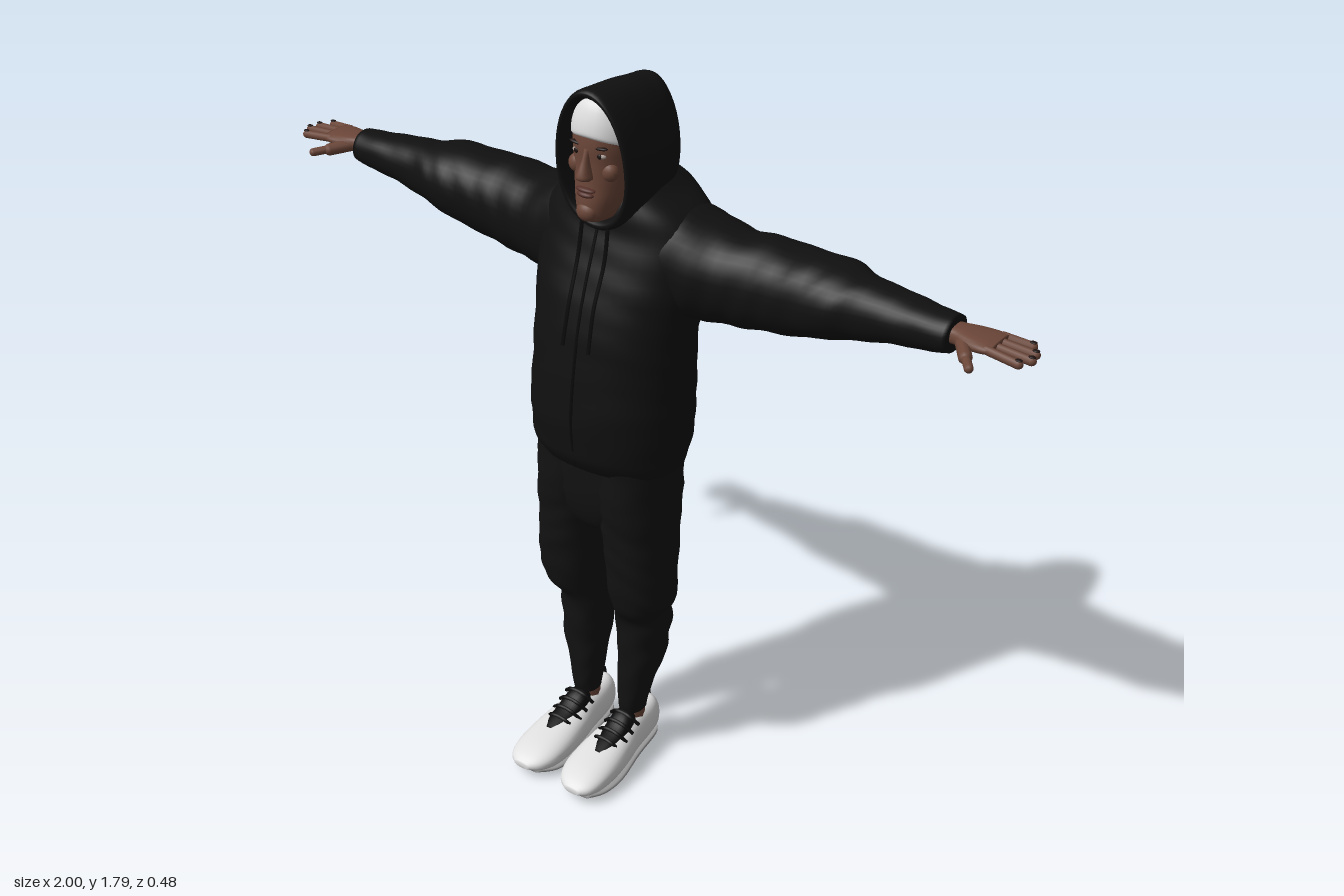
import * as THREE from 'three';

const mat = (name, color) => Object.assign(new THREE.MeshStandardMaterial({ color }), { name });

// Cubic interpolation between section values
const cubic = (a, b, c, d, t) =>
  b + 0.5 * t * (c - a + t * (2 * a - 5 * b + 4 * c - d + t * (3 * (b - c) + d - a)));

// Lofts superellipse sections [t, u0, u1, v0, v1] along an axis.
// (axis, u, v) is (x, y, z), (y, z, x) or (z, x, y); wrinkle adds cloth folds.
function loft(axis, rows, { p = 2.2, seg = 32, sub = 4, wrinkle = 0, warp = null } = {}) {
  const k = 'xyz'.indexOf(axis), fine = [], pos = [], idx = [];
  const at = i => rows[Math.max(0, Math.min(rows.length - 1, i))];
  for (let i = 0; i < rows.length - 1; i++)
    for (let s = 0; s < sub; s++)
      fine.push(rows[i].map((_, c) => cubic(at(i - 1)[c], at(i)[c], at(i + 1)[c], at(i + 2)[c], s / sub)));
  fine.push(at(rows.length));
  const ring = ([t, u0, u1, v0, v1], size) => {
    for (let j = 0; j < seg; j++) {
      const a = j / seg * Math.PI * 2, c = Math.cos(a), s = Math.sin(a);
      const w = size * (1 + wrinkle * (Math.sin(t * 75 + 2.5 * Math.sin(a * 2 + t * 9)) + 0.6 * Math.sin(t * 41 + a * 3)));
      const q = [0, 0, 0];
      q[k] = t;
      q[(k + 1) % 3] = (u0 + u1) / 2 + w * (u1 - u0) / 2 * Math.sign(c) * Math.abs(c) ** (2 / p);
      q[(k + 2) % 3] = (v0 + v1) / 2 + w * (v1 - v0) / 2 * Math.sign(s) * Math.abs(s) ** (2 / p);
      if (warp) warp(q);
      pos.push(...q);
    }
  };
  const all = [[fine[0], 0], ...fine.map(r => [r, 1]), [fine[fine.length - 1], 0]];
  all.forEach(([r, size]) => ring(r, size));
  for (let i = 0; i < all.length - 1; i++)
    for (let j = 0; j < seg; j++) {
      const a = i * seg + j, b = i * seg + (j + 1) % seg, c = a + seg, d = b + seg;
      if (i > 0) idx.push(a, b, c);
      if (i < all.length - 2) idx.push(b, d, c);
      if (i === 0) idx.push(a, d, c);
      if (i === all.length - 2) idx.push(a, b, c);
    }
  const g = new THREE.BufferGeometry();
  g.setAttribute('position', new THREE.Float32BufferAttribute(pos, 3));
  g.setIndex(idx);
  g.computeVertexNormals();
  return g;
}

export function createModel() {
  const M = {
    cloth: mat('blackCloth', 0x101010), trousers: mat('trouserBlack', 0x121212), trim: mat('blackTrim', 0x0a0a0a),
    skin: mat('brownSkin', 0x6b4638), lips: mat('darkLips', 0x553029), hair: mat('darkBrows', 0x1c1210),
    white: mat('white', 0xdedede), sole: mat('soleGrey', 0xa0a0a0), eye: mat('eyeWhite', 0xa89c94),
  };
  const model = new THREE.Group();
  model.name = 'hoodedFigure';
  const add = (parent, name, geo, material) => {
    const m = new THREE.Mesh(geo, material);
    m.name = name;
    parent.add(m);
    return m;
  };
  const ball = (parent, name, material, p, s) => {
    const m = add(parent, name, new THREE.SphereGeometry(1, 16, 12), material);
    m.position.set(...p);
    m.scale.set(...s);
    return m;
  };
  const limb = (parent, name, material, a, b, r) => {
    const A = new THREE.Vector3(...a), d = new THREE.Vector3(...b).sub(A);
    const m = add(parent, name, new THREE.CapsuleGeometry(r, d.length(), 5, 10), material);
    m.position.copy(A).addScaledVector(d, 0.5);
    m.quaternion.setFromUnitVectors(new THREE.Vector3(0, 1, 0), d.normalize());
  };
  const tube = (parent, name, material, pts, r) => add(parent, name, new THREE.TubeGeometry(
    new THREE.CatmullRomCurve3(pts.map(q => new THREE.Vector3(...q))), 20, r, 6), material);

  // Sweatshirt body with a gathered hem
  add(model, 'sweatshirt', loft('y', [
    [0.885, -0.165, 0.1, -0.185, 0.185], [0.91, -0.175, 0.112, -0.192, 0.192], [0.94, -0.188, 0.118, -0.195, 0.195],
    [1.02, -0.2, 0.124, -0.197, 0.197], [1.12, -0.198, 0.113, -0.195, 0.195], [1.22, -0.2, 0.1, -0.195, 0.195],
    [1.32, -0.213, 0.075, -0.205, 0.205], [1.4, -0.228, 0.045, -0.215, 0.215], [1.46, -0.235, 0.025, -0.21, 0.21],
    [1.505, -0.235, 0.018, -0.175, 0.175], [1.54, -0.23, 0.012, -0.12, 0.12], [1.565, -0.2, 0, -0.09, 0.09],
  ], { p: 2.3, seg: 48, wrinkle: 0.006 }), M.cloth);

  // Hood: outer shell from back to rim, then folded inward
  add(model, 'hood', loft('z', [
    [-0.19, -0.05, 0.05, 1.54, 1.735], [-0.18, -0.075, 0.075, 1.5, 1.77], [-0.13, -0.098, 0.098, 1.47, 1.778],
    [-0.05, -0.106, 0.106, 1.46, 1.787], [0.0, -0.106, 0.106, 1.46, 1.792], [0.035, -0.101, 0.101, 1.465, 1.793],
    [0.048, -0.093, 0.093, 1.475, 1.785], [0.036, -0.085, 0.085, 1.488, 1.772], [-0.03, -0.083, 0.083, 1.49, 1.765],
  ], {
    p: 2.1, seg: 48, wrinkle: 0.004,
    warp: q => {
      const h = (q[1] - 1.63) / 0.16;
      q[0] *= 1 - 0.1 * h;
      q[2] += 0.012 * h;
    },
  }), M.cloth);

  // Front zip and drawstrings
  tube(model, 'zip', M.trim, [[0, 1.47, 0.022], [0, 1.32, 0.075], [0, 1.22, 0.1], [0, 1.02, 0.124], [0, 0.9, 0.108]], 0.004);
  for (const s of [-1, 1])
    tube(model, 'drawstring', M.trim, [[s * 0.035, 1.49, 0.03], [s * 0.036, 1.4, 0.046], [s * 0.034, 1.3, 0.082], [s * 0.036, 1.2, 0.105]], 0.005);

  // Head and headband
  const head = new THREE.Group();
  head.name = 'head';
  model.add(head);
  add(head, 'face', loft('y', [
    [1.493, -0.01, 0.05, -0.02, 0.02], [1.505, -0.06, 0.068, -0.04, 0.04], [1.54, -0.1, 0.07, -0.056, 0.056],
    [1.58, -0.12, 0.064, -0.067, 0.067], [1.63, -0.135, 0.061, -0.075, 0.075], [1.67, -0.14, 0.062, -0.078, 0.078],
    [1.71, -0.13, 0.054, -0.075, 0.075], [1.75, -0.1, 0.025, -0.05, 0.05],
  ]), M.skin);
  add(head, 'headband', loft('y', [
    [1.69, -0.142, 0.06, -0.082, 0.082], [1.7, -0.142, 0.064, -0.083, 0.083], [1.73, -0.13, 0.058, -0.079, 0.079],
    [1.76, -0.1, 0.043, -0.06, 0.06], [1.775, -0.07, 0.015, -0.035, 0.035],
  ], { warp: q => { q[1] -= 3 * q[0] * q[0]; } }), M.white);
  add(head, 'nose', loft('y', [
    [1.595, 0.05, 0.075, -0.012, 0.012], [1.602, 0.04, 0.088, -0.018, 0.018], [1.615, 0.04, 0.086, -0.015, 0.015],
    [1.64, 0.04, 0.074, -0.009, 0.009], [1.665, 0.04, 0.064, -0.008, 0.008],
  ], { seg: 16 }), M.skin);
  ball(head, 'upperLip', M.lips, [0, 1.573, 0.064], [0.026, 0.006, 0.011]);
  ball(head, 'lowerLip', M.lips, [0, 1.562, 0.065], [0.022, 0.007, 0.011]);
  ball(head, 'chin', M.skin, [0, 1.52, 0.06], [0.026, 0.022, 0.018]);
  for (const s of [-1, 1]) {
    ball(head, 'eye', M.eye, [s * 0.031, 1.653, 0.05], [0.013, 0.006, 0.008]);
    ball(head, 'iris', M.hair, [s * 0.031, 1.653, 0.056], [0.006, 0.006, 0.003]);
    ball(head, 'eyebrow', M.hair, [s * 0.033, 1.671, 0.053], [0.018, 0.004, 0.007]).rotation.z = s * 0.1;
    ball(head, 'cheek', M.skin, [s * 0.043, 1.615, 0.035], [0.022, 0.022, 0.018]);
  }

  // Hips
  add(model, 'trouserSeat', loft('y', [
    [0.685, -0.08, 0.04, -0.03, 0.03], [0.72, -0.115, 0.07, -0.1, 0.1], [0.8, -0.14, 0.088, -0.16, 0.16], [0.93, -0.155, 0.09, -0.165, 0.165],
  ], { p: 2.5 }), M.trousers);

  // Arms and legs, mirrored left to right
  for (const side of [1, -1]) {
    const half = new THREE.Group();
    half.name = side > 0 ? 'leftLimbs' : 'rightLimbs';
    half.scale.x = side;
    model.add(half);

    add(half, 'sleeve', loft('x', [
      [0.06, 1.3, 1.515, -0.225, 0], [0.14, 1.27, 1.515, -0.235, 0.01], [0.2, 1.257, 1.5, -0.237, -0.002], [0.27, 1.265, 1.478, -0.236, -0.02],
      [0.35, 1.272, 1.482, -0.233, -0.03], [0.42, 1.285, 1.48, -0.23, -0.03], [0.5, 1.305, 1.482, -0.225, -0.025],
      [0.55, 1.318, 1.478, -0.218, -0.028], [0.6, 1.332, 1.47, -0.192, -0.042], [0.68, 1.35, 1.462, -0.178, -0.052],
      [0.76, 1.363, 1.455, -0.165, -0.056], [0.815, 1.373, 1.452, -0.153, -0.062],
    ], { seg: 36, wrinkle: 0.014 }), M.cloth);

    // Hand with four fingers and a thumb
    const hand = new THREE.Group();
    hand.name = 'hand';
    half.add(hand);
    add(hand, 'palm', loft('x', [
      [0.78, 1.393, 1.437, -0.138, -0.078], [0.82, 1.397, 1.437, -0.137, -0.077], [0.85, 1.4, 1.436, -0.147, -0.066],
      [0.89, 1.405, 1.433, -0.155, -0.06], [0.915, 1.41, 1.43, -0.152, -0.064],
    ], { p: 2.6, seg: 20 }), M.skin);
    [[-0.145, 0.965], [-0.12, 0.985], [-0.096, 0.99], [-0.072, 0.975]].forEach(([z, tip], i) => {
      const zt = z + (1.5 - i) * -0.004;
      limb(hand, 'finger', M.skin, [0.9, 1.42, z], [tip, 1.414, zt], 0.0098);
      ball(hand, 'fingernail', M.hair, [tip, 1.4235, zt], [0.008, 0.0025, 0.006]);
    });
    limb(hand, 'thumbBase', M.skin, [0.84, 1.413, -0.085], [0.872, 1.408, -0.04], 0.015);
    limb(hand, 'thumb', M.skin, [0.868, 1.41, -0.045], [0.897, 1.405, -0.008], 0.01);

    // Loose trouser leg gathered at the ankle
    add(half, 'trouserLeg', loft('y', [
      [0.135, -0.065, 0.008, 0.04, 0.103], [0.16, -0.072, 0.012, 0.038, 0.106], [0.22, -0.085, 0.014, 0.034, 0.118],
      [0.3, -0.115, 0.016, 0.03, 0.14], [0.35, -0.118, 0.018, 0.026, 0.142], [0.4, -0.13, 0.02, 0.022, 0.15],
      [0.44, -0.12, 0.028, 0.024, 0.145], [0.48, -0.105, 0.05, 0.026, 0.172], [0.53, -0.105, 0.064, 0.025, 0.183],
      [0.62, -0.115, 0.075, 0.02, 0.18], [0.7, -0.128, 0.08, 0.012, 0.178], [0.8, -0.142, 0.09, 0, 0.176], [0.92, -0.155, 0.09, 0, 0.17],
    ], { seg: 36, p: 2.3, wrinkle: 0.016 }), M.trousers);
    limb(half, 'ankle', M.skin, [0.071, 0.08, -0.032], [0.071, 0.16, -0.03], 0.03);

    // Shoe
    const shoe = new THREE.Group();
    shoe.name = 'shoe';
    half.add(shoe);
    add(shoe, 'shoeUpper', loft('z', [
      [-0.112, 0.05, 0.092, 0.035, 0.09], [-0.1, 0.037, 0.104, 0.02, 0.128], [-0.06, 0.03, 0.11, 0.012, 0.122],
      [0, 0.024, 0.117, 0.008, 0.118], [0.05, 0.015, 0.128, 0.006, 0.108], [0.12, 0.009, 0.137, 0.006, 0.092],
      [0.18, 0.013, 0.136, 0.012, 0.076], [0.22, 0.032, 0.124, 0.022, 0.06], [0.24, 0.06, 0.1, 0.032, 0.046],
    ], { p: 2.4 }), M.white);
    add(shoe, 'shoeSole', loft('z', [
      [-0.108, 0.05, 0.092, 0.022, 0.034], [-0.09, 0.038, 0.104, 0.008, 0.024], [0, 0.026, 0.116, 0.003, 0.02],
      [0.1, 0.012, 0.136, 0, 0.018], [0.17, 0.016, 0.134, 0.004, 0.02], [0.22, 0.042, 0.118, 0.016, 0.03],
    ], { p: 3 }), M.sole);
    add(shoe, 'tongue', loft('z', [
      [-0.005, 0.045, 0.098, 0.09, 0.14], [0.02, 0.04, 0.104, 0.08, 0.136], [0.06, 0.042, 0.106, 0.07, 0.113],
      [0.1, 0.046, 0.106, 0.06, 0.1], [0.13, 0.058, 0.096, 0.06, 0.09],
    ], { seg: 20 }), M.trim);
    for (let i = 0; i < 4; i++) {
      const z = 0.015 + i * 0.026, y = 0.136 - i * 0.011;
      tube(shoe, 'lace', M.trim, [[0.03, y - 0.024, z - 0.01], [0.052, y - 0.003, z], [0.072, y, z], [0.094, y - 0.003, z], [0.116, y - 0.024, z - 0.01]], 0.005);
    }
    tube(shoe, 'heelLoop', M.trim, [[0.071, 0.115, -0.085], [0.071, 0.146, -0.082], [0.071, 0.148, -0.094], [0.071, 0.115, -0.104]], 0.004);
  }
  return model;
}
